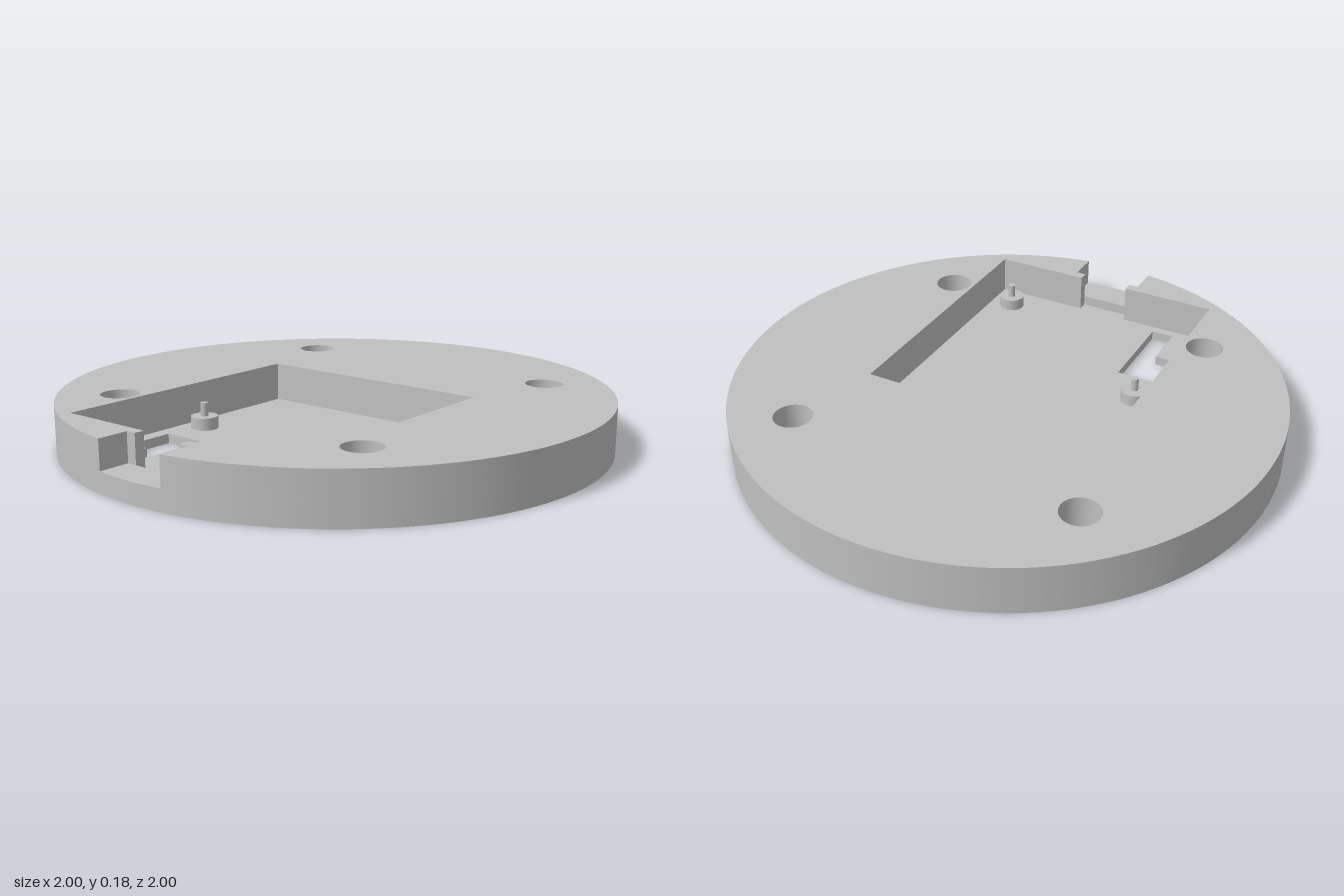
import * as THREE from 'three';

const H = 0.18, FLOOR = 0.035, LEDGE = 0.075; // top, pocket floor and notch floor heights
const NX = 0.137, NZ = 0.876;                 // notch half width and inner edge
const A = Math.asin(NX);                      // half angle of the notch at the rim
const SEG = 128;

export function createModel() {
  const group = new THREE.Group();
  const grey = new THREE.MeshStandardMaterial({ color: 0xc0c0c0, side: THREE.DoubleSide });
  grey.name = 'grey';

  const add = (name, geo, x = 0, y = 0, z = 0) => {
    const mesh = new THREE.Mesh(geo, grey);
    mesh.name = name;
    mesh.position.set(x, y, z);
    group.add(mesh);
    return mesh;
  };
  const v = (pts) => pts.map(([x, z]) => new THREE.Vector2(x, z));
  const arc = (from, to, n, r = 1, cx = 0, cz = 0) => Array.from({ length: n + 1 }, (_, i) => {
    const a = from + (to - from) * i / n;
    return [cx + r * Math.sin(a), cz + r * Math.cos(a)];
  });

  // Flat horizontal face from an [x, z] outline with holes
  const face = (name, outline, holes, y, up) => {
    const shape = new THREE.Shape(v(outline));
    shape.holes = holes.map((h) => new THREE.Path(v(h)));
    const geo = new THREE.ShapeGeometry(shape);
    geo.rotateX(Math.PI / 2); // shape y becomes z, facing down
    if (up) {
      const ix = geo.index;
      for (let i = 0; i < ix.count; i += 3) {
        const t = ix.getX(i);
        ix.setX(i, ix.getX(i + 2));
        ix.setX(i + 2, t);
      }
      geo.computeVertexNormals();
    }
    add(name, geo, 0, y, 0);
  };

  // Flat vertical walls along an [x, z] path
  const walls = (name, path, y0, y1) => {
    const pos = [];
    for (let i = 0; i + 1 < path.length; i++) {
      const [ax, az] = path[i], [bx, bz] = path[i + 1];
      pos.push(ax, y0, az, bx, y0, bz, bx, y1, bz, ax, y0, az, bx, y1, bz, ax, y1, az);
    }
    const geo = new THREE.BufferGeometry();
    geo.setAttribute('position', new THREE.Float32BufferAttribute(pos, 3));
    geo.computeVertexNormals();
    add(name, geo);
  };

  const P = 0.463, NECK = 0.1, Z0 = -0.2, Z1 = 0.838;
  const pocket = [[-NECK, NZ], [-NECK, Z1], [-P, Z1], [-P, Z0], [P, Z0], [P, Z1], [NECK, Z1], [NECK, NZ]];
  const slot = [[-0.41, 0.45], [-0.245, 0.45], [-0.245, 0.802], [-0.33, 0.802], [-0.33, 0.626], [-0.41, 0.626]];
  const bolts = [[-1, -1], [1, -1], [1, 1], [-1, 1]].map(([x, z]) => [x * 0.548, z * 0.55]);
  const boltHoles = bolts.map(([x, z]) => arc(0, 2 * Math.PI, 32, 0.07, x, z).slice(0, -1));

  // Horizontal faces
  const rimArc = arc(A, 2 * Math.PI - A, SEG);
  face('underside', arc(0, 2 * Math.PI, SEG).slice(0, -1), [...boltHoles, slot], 0, false);
  face('topFace', [...rimArc, [-NX, NZ], ...pocket, [NX, NZ]], boltHoles, H, true);
  face('pocketFloor', pocket, [slot], FLOOR, true);
  face('notchFloor', [...arc(-A, A, 8), [NX, NZ], [-NX, NZ]], [], LEDGE, true);

  // Outer rim, interrupted above the notch floor
  add('lowerRim', new THREE.CylinderGeometry(1, 1, LEDGE, SEG, 1, true), 0, LEDGE / 2, 0);
  add('upperRim', new THREE.CylinderGeometry(1, 1, H - LEDGE, SEG, 1, true, A, 2 * Math.PI - 2 * A),
    0, (H + LEDGE) / 2, 0);

  // Bolt hole bores
  for (const [x, z] of bolts) {
    add('boltHole', new THREE.CylinderGeometry(0.07, 0.07, H, 32, 1, true), x, H / 2, z);
  }

  // Pocket, slot and notch walls
  walls('pocketWalls', pocket, FLOOR, H);
  walls('slotWalls', [...slot, slot[0]], 0, FLOOR);
  walls('notchStep', [[-NECK, NZ], [NECK, NZ]], FLOOR, LEDGE);
  for (const s of [-1, 1]) {
    walls('notchSide', [[s * NECK, NZ], [s * NX, NZ], [s * NX, Math.cos(A)]], LEDGE, H);
  }

  // Standoffs with locating pins
  for (const [x, z] of [[-0.372, 0.305], [0.372, 0.73]]) {
    add('standoff', new THREE.CylinderGeometry(0.05, 0.05, 0.045, 32), x, FLOOR + 0.0225, z);
    add('standoffPin', new THREE.CylinderGeometry(0.014, 0.014, 0.05, 16), x, FLOOR + 0.07, z);
  }
  return group;
}
